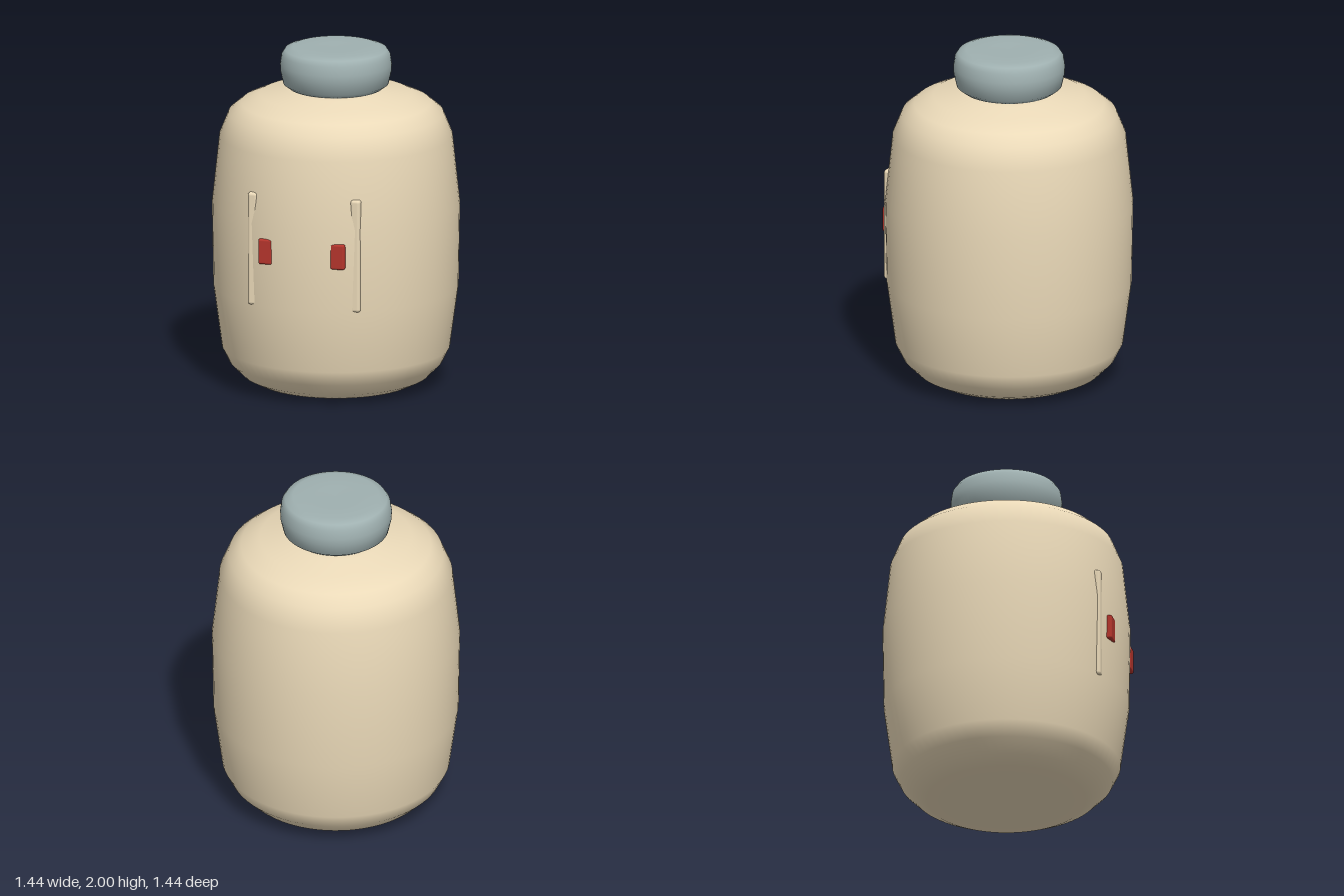
import * as THREE from 'three';
import { RoundedBoxGeometry } from 'three/addons/geometries/RoundedBoxGeometry.js';

const material = (color) => new THREE.MeshStandardMaterial({ color });

// Smooth turned solid from [radius, height] pairs, listed bottom to top
function turned(name, profile, mat) {
  const points = profile.map(([r, y]) => new THREE.Vector2(r, y));
  const mesh = new THREE.Mesh(new THREE.LatheGeometry(points, 72), mat);
  mesh.name = name;
  return mesh;
}

// Rounded bar with its front face at zFront, mostly sunk into the body
function bar(name, x0, x1, y0, y1, zFront, radius, mat) {
  const depth = 0.08;
  const mesh = new THREE.Mesh(new RoundedBoxGeometry(x1 - x0, y1 - y0, depth, 4, radius), mat);
  mesh.position.set((x0 + x1) / 2, (y0 + y1) / 2, zFront - depth / 2);
  mesh.name = name;
  return mesh;
}

export function createModel() {
  const group = new THREE.Group();
  const cream = material(0xead9b8);
  const grey = material(0x9fb0b0);
  const red = material(0xb5352c);

  // Barrel-shaped body with a flat base and rounded shoulders
  group.add(turned('body', [
    [0, 0], [0.3, 0.003], [0.46, 0.015], [0.54, 0.055], [0.615, 0.13], [0.66, 0.22],
    [0.71, 0.59], [0.718, 1.08], [0.675, 1.48], [0.622, 1.61], [0.55, 1.67],
    [0.44, 1.72], [0.29, 1.745], [0.26, 1.765], [0, 1.77],
  ], cream));

  // Squat round cap
  group.add(turned('cap', [
    [0, 1.755], [0.265, 1.755], [0.305, 1.785], [0.322, 1.86], [0.323, 1.9],
    [0.315, 1.955], [0.295, 1.985], [0.25, 2], [0.12, 1.998], [0, 1.997],
  ], grey));

  // Mirrored face details: upright strips and red eyes
  for (const [side, s] of [['left', 1], ['right', -1]]) {
    const span = (a, b) => (s > 0 ? [a, b] : [-b, -a]);
    group.add(bar(side + 'Strip', ...span(0.28, 0.34), 0.59, 1.26, 0.646, 0.018, cream));
    group.add(bar(side + 'Eye', ...span(0.175, 0.26), 0.85, 1.0, 0.695, 0.012, red));
  }
  return group;
}
